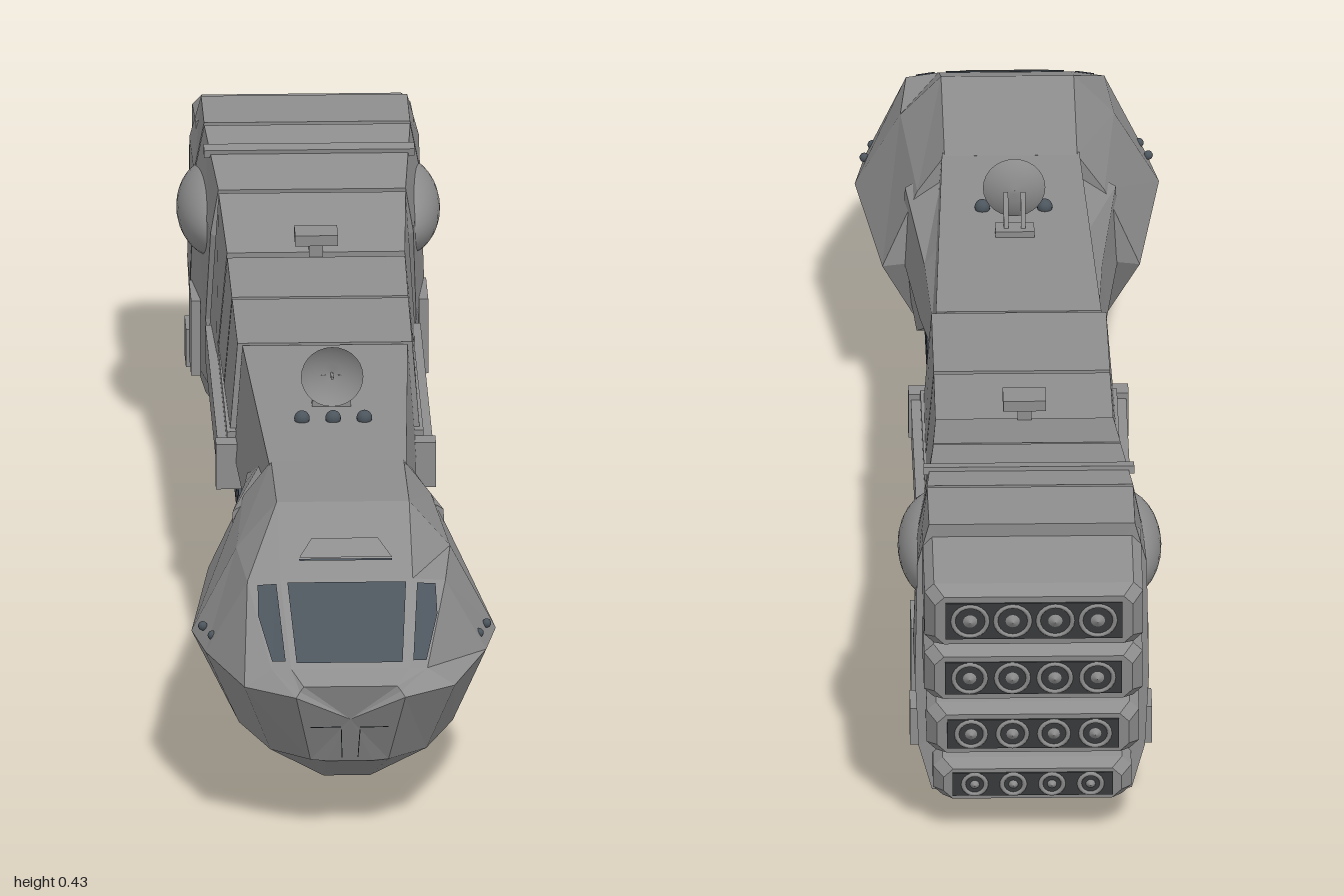
import * as THREE from 'three';

const hull = new THREE.MeshStandardMaterial({ color: 0x8e8e8e });
hull.name = 'hull grey';
const dark = new THREE.MeshStandardMaterial({ color: 0x4c555d, side: THREE.DoubleSide });
dark.name = 'slate';
const black = new THREE.MeshStandardMaterial({ color: 0x3a3c3e });
black.name = 'charcoal';

function flat(tris) {
  const g = new THREE.BufferGeometry();
  g.setAttribute('position', new THREE.Float32BufferAttribute(tris.flat(), 3));
  g.computeVertexNormals();
  return g;
}

// Skin over mirrored half profiles [x, y, z], listed front to back, top to bottom.
function loft(sections) {
  const rings = sections.map(s => [...s, ...s.map(([x, y, z]) => [-x, y, z]).reverse()]);
  const t = [], n = rings[0].length;
  const mid = r => [0, 1, 2].map(k => r.reduce((s, p) => s + p[k], 0) / n);
  const first = rings[0], last = rings[rings.length - 1];
  const c0 = mid(first), c1 = mid(last);
  for (let j = 0; j < n; j++) {
    const k = (j + 1) % n;
    for (let i = 0; i + 1 < rings.length; i++) {
      const a = rings[i][j], b = rings[i][k], c = rings[i + 1][k], d = rings[i + 1][j];
      t.push(a, b, c, a, c, d);
    }
    t.push(c0, first[k], first[j], c1, last[j], last[k]);
  }
  return flat(t);
}
const at = (z, ...pts) => pts.map(([x, y, dz = 0]) => [x, y, z + dz]);

// Thin plate on a four-cornered face (tl, tr, br, bl); uv gives its corners within the face.
function plate(q, uv, off = 0.003) {
  const [tl, tr, br, bl] = q.map(p => new THREE.Vector3(...p));
  const pts = uv.map(([u, v]) => tl.clone().lerp(tr, u).lerp(bl.clone().lerp(br, u), v));
  const n = bl.clone().sub(tl).cross(br.clone().sub(tl)).normalize();
  const p = pts.map(v => v.addScaledVector(n, off).toArray());
  const t = [];
  for (let i = 1; i + 1 < p.length; i++) t.push(p[0], p[i + 1], p[i]);
  return flat(t);
}
const mirror = p => [-p[0], p[1], p[2]];

export function createModel() {
  const root = new THREE.Group();
  const add = (name, geo, mat, pos = [0, 0, 0], rot = [0, 0, 0], parent = root) => {
    const m = new THREE.Mesh(geo, mat);
    m.name = name;
    m.position.set(...pos);
    m.rotation.set(...rot);
    parent.add(m);
    return m;
  };
  const box = (name, mat, w, h, d, x, y, z, rx = 0) =>
    add(name, new THREE.BoxGeometry(w, h, d), mat, [x, y, z], [rx, 0, 0]);

  // Faceted command module
  const R = [
    [[.06, .212, .99], [.065, .206, .992], [.07, .2, 1], [.05, .1, .945], [.03, .098, .945]],
    [[.075, .225, .955], [.1, .222, .945], [.135, .2, .95], [.1, .1, .9], [.03, .045, .84]],
    [[.085, .304, .825], [.127, .3, .82], [.18, .2, .8], [.137, .105, .8], [.045, .045, .81]],
    [[.085, .362, .68], [.137, .305, .69], [.195, .2, .71], [.147, .11, .68], [.05, .046, .7]],
    [[.085, .347, .46], [.12, .3, .455], [.165, .2, .445], [.125, .11, .5], [.06, .06, .54]],
  ];
  add('commandModule', loft(R), hull);

  // Windows
  const [A1, B1] = R[1], [A2, B2] = R[2];
  add('windshield', plate([mirror(A2), A2, A1, mirror(A1)],
    [[.05, .05], [.95, .05], [.95, .95], [.05, .95]]), dark);
  const sideUV = [[.12, .06], [.7, .06], [.94, .4], [.85, .93], [.2, .93]];
  add('leftSideWindow', plate([A2, B2, B1, A1], sideUV), dark);
  add('rightSideWindow', plate([mirror(B2), mirror(A2), mirror(A1), mirror(B1)],
    sideUV.map(([u, v]) => [1 - u, v])), dark);

  // Hood hatch, seams and nose hatch lines
  const A3 = R[3][0], hood = [mirror(A3), A3, A2, mirror(A2)];
  add('hoodHatch', plate(hood, [[.15, .75], [.25, .5], [.75, .5], [.85, .75]], .004), hull);
  const strip = (q, u0, v0, u1, v1) =>
    add('seam', plate(q, [[u0, v0], [u1, v0], [u1, v1], [u0, v1]], .002), dark);
  strip(hood, .15, .75, .85, .775);
  const nose = [mirror(R[0][2]), R[0][2], R[0][3], mirror(R[0][3])];
  strip(nose, .08, .45, .4, .465);
  strip(nose, .6, .45, .9, .465);
  strip(nose, .4, .5, .41, .95);
  strip(nose, .6, .5, .61, .95);

  // Dark spine, lower keel box and side ribs
  add('innerSpine', loft([
    at(.46, [.08, .338], [.095, .2]), at(-.39, [.105, .338], [.115, .2]),
    at(-.55, [.112, .375], [.12, .2]), at(-.75, [.125, .403], [.125, .2]),
    at(-.86, [.125, .403], [.125, .2]),
  ]), black);
  add('keel', loft([
    at(.52, [.1, .21], [.1, .1], [.09, .08]), at(-.62, [.106, .21], [.106, .1], [.095, .08]),
  ]), dark);
  for (const s of [1, -1])
    for (const y of [.095, .115, .135])
      box('keelRib', dark, .008, .008, 1.1, s * .106, y, -.05);
  box('keelFloor', black, .18, .008, 1.1, 0, .08, -.05);

  // Upper body panels, separated by narrow dark grooves
  const seg = (name, z0, w0, y0, b0, z1, w1, y1, b1) => add(name, loft([
    at(z0, [w0, y0], [b0, .2]), at(z1, [w1, y1], [b1, .2]),
  ]), hull);
  seg('neck', .47, .088, .347, .1, -.033, .106, .345, .117);
  seg('bodyPanel', -.04, .112, .346, .124, -.226, .113, .346, .126);
  seg('bodyPanel', -.234, .113, .346, .126, -.388, .114, .35, .128);
  seg('bodyPanel', -.396, .114, .354, .128, -.547, .12, .386, .132);

  // Tapered shoulders joining head and neck
  add('neckFairing', loft([
    at(.49, [.085, .32], [.135, .29], [.14, .2], [.12, .09]),
    at(.3, [.09, .3], [.114, .265], [.12, .19], [.1, .18]),
    at(.17, [.09, .26], [.106, .24], [.109, .21], [.1, .2]),
  ]), hull);

  // Side rails
  for (const s of [1, -1]) {
    box('sideRail', hull, .03, .045, .51, s * .123, .195, -.265);
    box('railNose', hull, .034, .06, .03, s * .124, .195, -.008);
    box('railStep', hull, .02, .02, .5, s * .116, .222, -.275);
  }

  // Engine housing
  add('engineHousing', loft([
    at(-.555, [.12, .388], [.13, .33], [.135, .2, -.045], [.125, .1, -.05], [.115, .075, -.05]),
    at(-.746, [.132, .414], [.145, .35], [.15, .2], [.145, .1], [.13, .055]),
  ]), hull);
  add('engineHousing', loft([
    at(-.754, [.132, .415], [.145, .35], [.15, .2], [.145, .1], [.13, .055]),
    at(-.87, [.132, .414], [.147, .36], [.15, .2, .005], [.145, .1, .01], [.128, .04, .01]),
  ]), hull);
  add('housingCore', loft([
    at(-.7, [.125, .403], [.137, .345], [.14, .2], [.135, .1], [.122, .065]),
    at(-.8, [.125, .403], [.137, .345], [.14, .2], [.135, .1], [.122, .065]),
  ]), black);
  box('housingBand', hull, .27, .01, .02, 0, .404, -.67, .14);
  for (const s of [1, -1]) {
    const tank = add('sideTank', new THREE.SphereGeometry(1, 32, 20), hull, [s * .115, .315, -.71]);
    tank.scale.set(.054, .056, .125);
    box('sidePlate', hull, .012, .1, .09, s * .146, .16, -.69);
    box('sidePlate', hull, .012, .05, .06, s * .149, .11, -.79);
  }

  // Four stacked engine banks with four nozzles each
  const banks = [
    [.352, .14, .046, .137], [.257, .14, .041, .11], [.165, .136, .037, .085], [.075, .127, .029, .05],
  ];
  for (const [y, w, h, len] of banks) {
    const bank = new THREE.Group();
    bank.name = 'engineBank';
    bank.position.set(0, y, -.86);
    bank.rotation.x = -.13;
    root.add(bank);
    const ring = (z, a, b) => at(z, [a - .012, b], [a, b - .012], [a, .012 - b], [a - .012, -b]);
    add('bankShell', loft([
      ring(.03, w, h), ring(.02 - len, w, h * .95), ring(-len, w - .013, h * .76),
    ]), hull, [0, 0, 0], [0, 0, 0], bank);
    add('nozzlePanel', new THREE.BoxGeometry(w * 1.62, h * 1.15, .004), black, [0, 0, -len], [0, 0, 0], bank);
    const r = Math.min(.022, h * .5);
    for (let i = 0; i < 4; i++) {
      const x = (i - 1.5) * w * .39;
      add('nozzleRim', new THREE.TorusGeometry(r, .003, 6, 20), hull, [x, 0, -len - .002], [0, 0, 0], bank);
      add('nozzleCone', new THREE.ConeGeometry(r * .5, .006, 16), hull, [x, 0, -len - .004], [-Math.PI / 2, 0, 0], bank);
    }
  }

  // Dish antenna, its struts and three sensor domes
  const dishMat = hull.clone();
  dishMat.name = 'dish grey';
  dishMat.side = THREE.DoubleSide;
  add('dish', new THREE.LatheGeometry([[0, 0], [.015, .002], [.03, .007], [.04, .014]]
    .map(p => new THREE.Vector2(...p)), 28), dishMat, [0, .393, .238], [Math.PI / 2, 0, 0]);
  add('dishFeed', new THREE.CylinderGeometry(.002, .002, .02, 8), hull, [0, .393, .248], [Math.PI / 2, 0, 0]);
  for (const s of [1, -1]) box('dishStrut', hull, .006, .06, .008, s * .011, .367, .222, .5);
  box('dishBase', hull, .05, .01, .03, 0, .349, .215);
  for (const x of [-.04, 0, .04])
    add('sensorDome', new THREE.SphereGeometry(.01, 16, 10), dark, [x, .35, .29]);

  // Rear roof sensor
  box('roofSensorPost', hull, .018, .035, .015, 0, .362, -.4);
  box('roofSensorHead', hull, .055, .014, .045, 0, .378, -.39);

  // Running lights on the cheeks
  for (const s of [1, -1])
    for (const [x, z] of [[.171, .79], [.182, .75]])
      add('runningLight', new THREE.SphereGeometry(.006, 12, 8), dark, [s * x, .219, z]);

  // Belly mast with foot, and rod aerials
  box('bellyMast', hull, .018, .075, .014, 0, .046, -.272);
  add('mastFoot', new THREE.CylinderGeometry(.02, .014, .012, 8), hull, [0, .006, -.258]);
  box('mastArm', hull, .01, .01, .03, 0, .066, -.255);
  const rod = (...p) => add('bellyAerial', new THREE.TubeGeometry(
    new THREE.CatmullRomCurve3(p.map(v => new THREE.Vector3(0, ...v))), 10, .003, 6), hull);
  rod([.08, .19], [.055, .185], [.045, .17], [.03, .165]);
  rod([.055, .11], [.062, .09], [.062, .02], [.055, 0]);
  rod([.08, .055], [.07, .055], [.06, .055]);
  return root;
}
